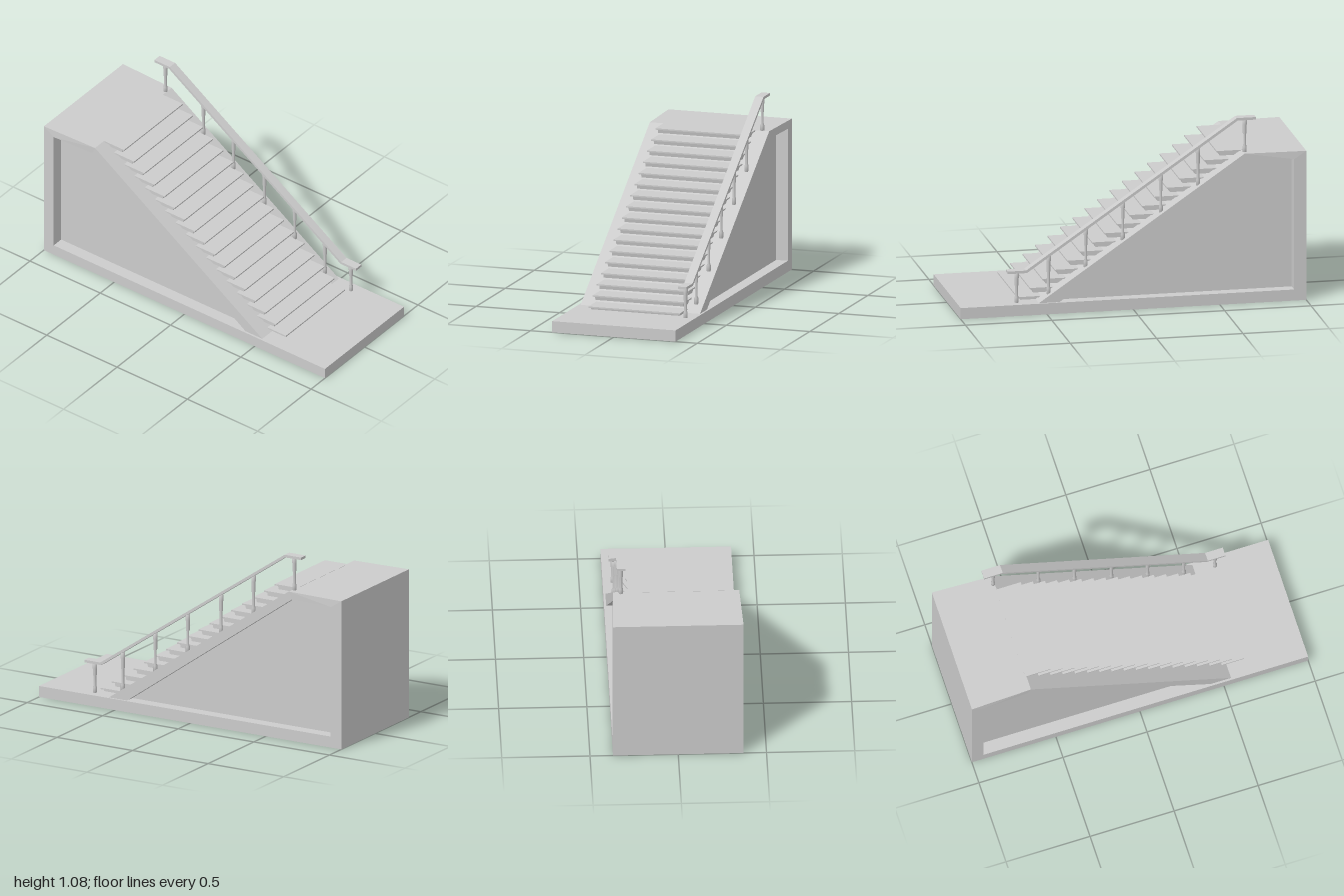
import * as THREE from 'three';

const grey = new THREE.MeshStandardMaterial({ color: 0xcccccc });
const HALF = 0.37, BASE = 0.065, TOP = 0.875, CORE = 0.30;
const FOOT_Z = 0.545, HEAD_Z = -0.645;

function add(parent, name, geometry, x = 0, y = 0, z = 0) {
  const mesh = new THREE.Mesh(geometry, grey);
  mesh.name = name;
  mesh.position.set(x, y, z);
  parent.add(mesh);
  return mesh;
}

// Extrude a [z, y] side profile across x, centred on x = 0
function sideExtrude(points, width) {
  const shape = new THREE.Shape(points.map(([z, y]) => new THREE.Vector2(z, y)));
  const geo = new THREE.ExtrudeGeometry(shape, { depth: width, bevelEnabled: false });
  geo.translate(0, 0, -width / 2);
  geo.rotateY(-Math.PI / 2);
  return geo;
}

// Height of the sloping stringer surface
function slopeY(z) {
  const t = THREE.MathUtils.clamp((FOOT_Z - z) / (FOOT_Z - HEAD_Z), 0, 1);
  return THREE.MathUtils.lerp(BASE, TOP, t);
}

// Height of the underside of the handrail
function railY(z) {
  const t = THREE.MathUtils.clamp((0.61 - z) / 1.22, 0, 1);
  return THREE.MathUtils.lerp(0.24, 1.066, t);
}

// Turned baluster: foot, thin shaft, wider upper sleeve
function balusterGeometry(h) {
  const profile = [
    [0, 0], [0.012, 0], [0.012, 0.035], [0.008, 0.045], [0.008, h * 0.55],
    [0.011, h * 0.58], [0.011, h - 0.04], [0.013, h - 0.035], [0.013, h], [0, h],
  ].map(([r, y]) => new THREE.Vector2(r, y));
  return new THREE.LatheGeometry(profile, 12);
}

export function createModel() {
  const model = new THREE.Group();
  model.name = 'staircase';

  // Base slab and solid core
  add(model, 'base', new THREE.BoxGeometry(2 * HALF, BASE, 2), 0, BASE / 2, 0);
  add(model, 'core', sideExtrude([
    [FOOT_Z, BASE], [HEAD_Z, TOP], [-1, TOP], [-1, BASE],
  ], 2 * CORE));

  // Raised frames around the recessed side panels, slightly narrower along the stringer
  const depth = HALF - CORE;
  for (const side of [-1, 1]) {
    const geo = sideExtrude([
      [FOOT_Z, BASE], [HEAD_Z, TOP], [-1, TOP], [-1, BASE],
      [-0.93, BASE], [-0.93, 0.83], [-0.665, 0.83], [0.425, BASE],
    ], depth);
    geo.translate(side * (CORE + depth / 2), 0, 0);
    const p = geo.attributes.position;
    for (let i = 0; i < p.count; i++) {
      if (Math.abs(p.getX(i)) > HALF - 0.01 && p.getZ(i) > -0.8) p.setX(i, side * 0.358);
    }
    geo.computeVertexNormals();
    add(model, side > 0 ? 'leftFrame' : 'rightFrame', geo);
  }

  // Steps: thin tread with a narrower block below
  const steps = new THREE.Group();
  steps.name = 'steps';
  model.add(steps);
  const tread = new THREE.BoxGeometry(0.55, 0.008, 0.15);
  const riser = sideExtrude([[0.06, 0], [0.055, -0.022], [-0.075, -0.022], [-0.075, 0]], 0.53);
  for (let i = 0; i < 17; i++) {
    const y = 0.084 + i * 0.0495, z = 0.575 - i * 0.072;
    add(steps, 'tread', tread, 0, y - 0.004, z);
    add(steps, 'riser', riser, 0, y - 0.008, z);
  }

  // Handrail on the left side with level ends
  const railing = new THREE.Group();
  railing.name = 'railing';
  railing.position.x = 0.313;
  model.add(railing);
  add(railing, 'handrail', sideExtrude([
    [0.72, 0.24], [0.72, 0.255], [0.615, 0.255], [-0.605, 1.081],
    [-0.715, 1.081], [-0.715, 1.066], [-0.61, 1.066], [0.61, 0.24],
  ], 0.05));
  for (const z of [0.665, 0.48, 0.265, 0.05, -0.17, -0.385, -0.655]) {
    const y = slopeY(z) - 0.005;
    add(railing, 'baluster', balusterGeometry(railY(z) + 0.004 - y), 0, y, z);
  }
  return model;
}
